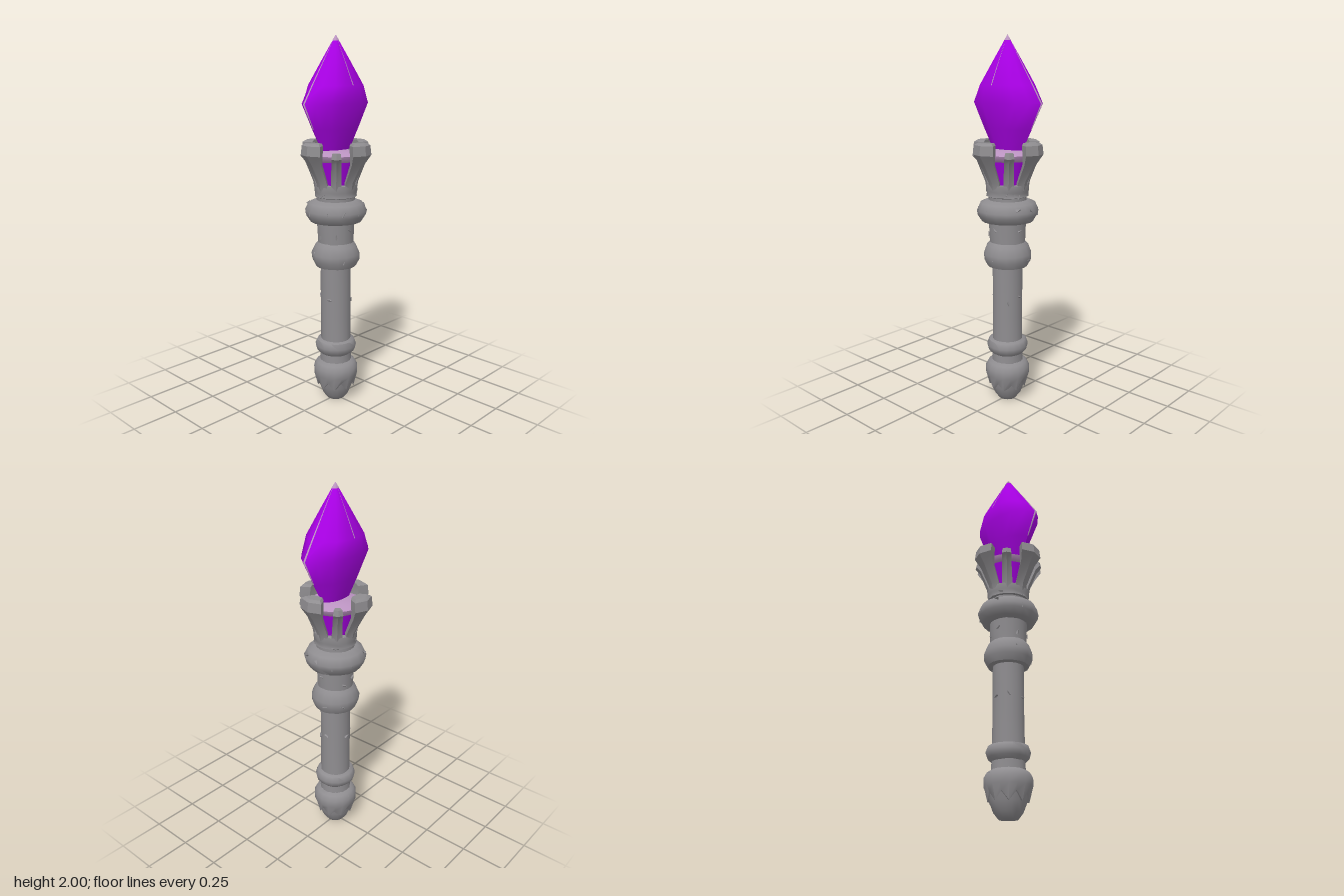
import * as THREE from 'three';
import { toCreasedNormals } from 'three/addons/utils/BufferGeometryUtils.js';

const stone = new THREE.MeshStandardMaterial({ color: 0x8f8d90 });
stone.name = 'grey stone';
const purple = new THREE.MeshStandardMaterial({ color: 0xa800e4 });
purple.name = 'purple crystal';
const lilac = new THREE.MeshStandardMaterial({ color: 0xbc94c2 });
lilac.name = 'pale lilac';

let seed = 7;
const rand = () => ((seed = (seed * 16807) % 2147483647) / 2147483647);

function part(parent, name, geometry, material) {
  const mesh = new THREE.Mesh(geometry, material);
  mesh.name = name;
  parent.add(mesh);
  return mesh;
}

// Skin a stack of rings, each a list of [x, y, z] running from +x towards +z
function loft(rings, crease) {
  const n = rings[0].length, pos = rings.flat(2), idx = [];
  for (let r = 0; r < rings.length - 1; r++) {
    for (let i = 0; i < n; i++) {
      const a = r * n + i, b = r * n + (i + 1) % n;
      idx.push(a, a + n, b, b, a + n, b + n);
    }
  }
  const top = (rings.length - 1) * n;
  for (let i = 1; i < n - 1; i++) idx.push(0, i, i + 1, top, top + i + 1, top + i);
  const g = new THREE.BufferGeometry();
  g.setAttribute('position', new THREE.Float32BufferAttribute(pos, 3));
  g.setIndex(idx);
  return toCreasedNormals(g, crease);
}

// Turned stone section with slightly worn, uneven rings
function turned(profile, wear = 0.03, segments = 18) {
  const g = new THREE.LatheGeometry(profile.map(([r, y]) => new THREE.Vector2(r, y)), segments);
  const p = g.attributes.position, n = profile.length;
  for (let j = 0; j < n; j++) {
    for (let i = 0; i < segments; i++) {
      const k = 1 - wear * rand();
      for (const s of i === 0 ? [0, segments] : [i]) {
        const v = s * n + j;
        p.setX(v, p.getX(v) * k);
        p.setZ(v, p.getZ(v) * k);
      }
    }
  }
  return toCreasedNormals(g, 0.95);
}

// Prong facing +z; rows are [y, inner radius, outer radius, half width]
function prong(rows) {
  return loft(rows.map(([y, rIn, rOut, w]) => [
    [w, y, rOut - w * 0.35], [0, y, rOut], [-w, y, rOut - w * 0.35],
    [-w * 0.6, y, rIn], [w * 0.6, y, rIn],
  ]), 0.5);
}

export function createModel() {
  const model = new THREE.Group();
  model.name = 'crystalSceptre';

  // Handle, bottom to top
  const sections = {
    pommelTip: [[0, 0], [0.05, 0], [0.074, 0.03], [0.094, 0.08], [0.104, 0.13], [0, 0.16]],
    pommelNeck: [[0.09, 0.2], [0.086, 0.29]],
    lowerRing: [[0.085, 0.275], [0.108, 0.295], [0.116, 0.325], [0.104, 0.355], [0.08, 0.362]],
    shaft: [[0.084, 0.34], [0.083, 0.5], [0.084, 0.65], [0.084, 0.8]],
    middleRing: [[0.08, 0.782], [0.112, 0.785], [0.13, 0.82], [0.134, 0.855], [0.114, 0.9], [0.098, 0.92]],
    upperNeck: [[0.097, 0.9], [0.1, 0.95], [0.104, 1.04]],
    crownRing: [[0.1, 1.03], [0.142, 1.035], [0.163, 1.07], [0.169, 1.095], [0.15, 1.135], [0.115, 1.15], [0.08, 1.152]],
    collarGroove: [[0.105, 1.14], [0.105, 1.2]],
    collar: [[0.1, 1.165], [0.116, 1.172], [0.113, 1.19], [0.117, 1.2], [0.115, 1.236], [0, 1.24]],
  };
  for (const [name, profile] of Object.entries(sections)) {
    part(model, name, turned(profile), stone);
  }

  // Pommel bulb with a jagged lower rim
  const teeth = 18;
  const bulbRows = [[0.107, 0.12], [0.123, 0.155], [0.123, 0.195], [0.108, 0.222], [0.086, 0.235]];
  part(model, 'pommelBulb', loft(bulbRows.map(([r, y], row) =>
    Array.from({ length: teeth }, (_, i) => {
      const a = (i / teeth) * Math.PI * 2;
      const drop = row === 0 && i % 2 ? 0.045 : 0;
      return [Math.cos(a) * (r - drop * 0.1), y - drop, Math.sin(a) * (r - drop * 0.1)];
    })), 0.8), stone);

  // Small chips and splinters on the worn stone: [radius, y]
  const chips = new THREE.Group();
  chips.name = 'chips';
  model.add(chips);
  const chipShape = new THREE.TetrahedronGeometry(0.02);
  for (const [r, y, count] of [[0.08, 0.6, 5], [0.097, 0.97, 6], [0.158, 1.1, 9],
    [0.122, 0.85, 5], [0.108, 0.18, 5], [0.106, 1.18, 6]]) {
    for (let i = 0; i < count; i++) {
      const a = ((i + rand() * 0.7) / count) * Math.PI * 2;
      const chip = part(chips, 'chip', chipShape, stone);
      chip.position.set(Math.sin(a) * r, y + (rand() - 0.5) * 0.05, Math.cos(a) * r);
      chip.rotation.set(0, a, rand() * 3);
      chip.scale.set(1.1, 0.6, 0.6);
    }
  }

  // Crown: four broad prongs with thin ones between
  const broad = prong([[1.2, 0.08, 0.113, 0.036], [1.25, 0.085, 0.122, 0.039],
    [1.35, 0.13, 0.178, 0.05], [1.4, 0.14, 0.213, 0.07], [1.45, 0.135, 0.207, 0.066], [1.462, 0.133, 0.19, 0.048]]);
  const thin = prong([[1.2, 0.08, 0.112, 0.026], [1.25, 0.085, 0.12, 0.028],
    [1.36, 0.13, 0.163, 0.025], [1.385, 0.138, 0.186, 0.026], [1.415, 0.14, 0.18, 0.022]]);
  for (let i = 0; i < 4; i++) {
    part(model, 'broadProng', broad, stone).rotation.y = i * Math.PI / 2;
    part(model, 'thinProng', thin, stone).rotation.y = (i + 0.5) * Math.PI / 2;
  }

  // Crystal: pointed oval sections [y, half width, half depth]
  const quarter = [[1, 0], [0.84, 0.42], [0.6, 0.82], [0.3, 0.975]];
  const outline = [...quarter, [0, 1], ...quarter.slice(1).reverse().map(([x, z]) => [-x, z])];
  const oval = [...outline, ...outline.map(([x, z]) => [-x, -z])];
  const ring = ([y, w, d], shape = oval) => shape.map(([x, z]) => [x * w, y, z * d]);
  const rows = [[1.42, 0.105, 0.048], [1.53, 0.165, 0.084], [1.66, 0.232, 0.122],
    [1.75, 0.172, 0.122], [1.87, 0.09, 0.065], [2, 0.001, 0.001]];
  part(model, 'crystal', loft(rows.map((row) => ring(row)), 1.1), purple);

  // Crystal root: a round bowl behind the prongs with a pale rim
  part(model, 'crystalRoot', new THREE.CylinderGeometry(0.128, 0.082, 0.14, 24, 1, true)
    .translate(0, 1.3, 0), purple);
  part(model, 'crystalRim', turned([[0.126, 1.362], [0.138, 1.368], [0.148, 1.395],
    [0.1, 1.41], [0, 1.425]], 0, 24), lilac);

  // Pale worn ridges, flush with the crystal and widest at its corners
  const raise = 0.0013;
  for (const side of [1, -1]) {
    const sideRows = rows.slice(1).map(([y, w, d], i) => {
      const t = i === 1 ? 0.11 : 0.08;
      const shape = [[1 - 0.16 * t, -0.42 * t], [1, 0], [1 - 0.16 * t, 0.42 * t], [0.9, 0]];
      return ring([y, side * (w + raise), side * (d + raise)], shape);
    });
    part(model, 'sideRidge', loft(sideRows, 1.1), lilac);
    const faceShape = [[0.016, 0.999], [0, 1], [-0.016, 0.999], [0, 0.95]];
    const faceRows = rows.slice(3).map(([y, w, d]) =>
      ring([y, side * (w + raise), side * (d + raise)], faceShape));
    part(model, 'faceRidge', loft(faceRows, 1.1), lilac);
  }
  part(model, 'crystalTip', loft([[1.973, 0.021, 0.0155], [2, 0.0015, 0.0015]].map((row) => ring(row)), 1.1), lilac);

  return model;
}
